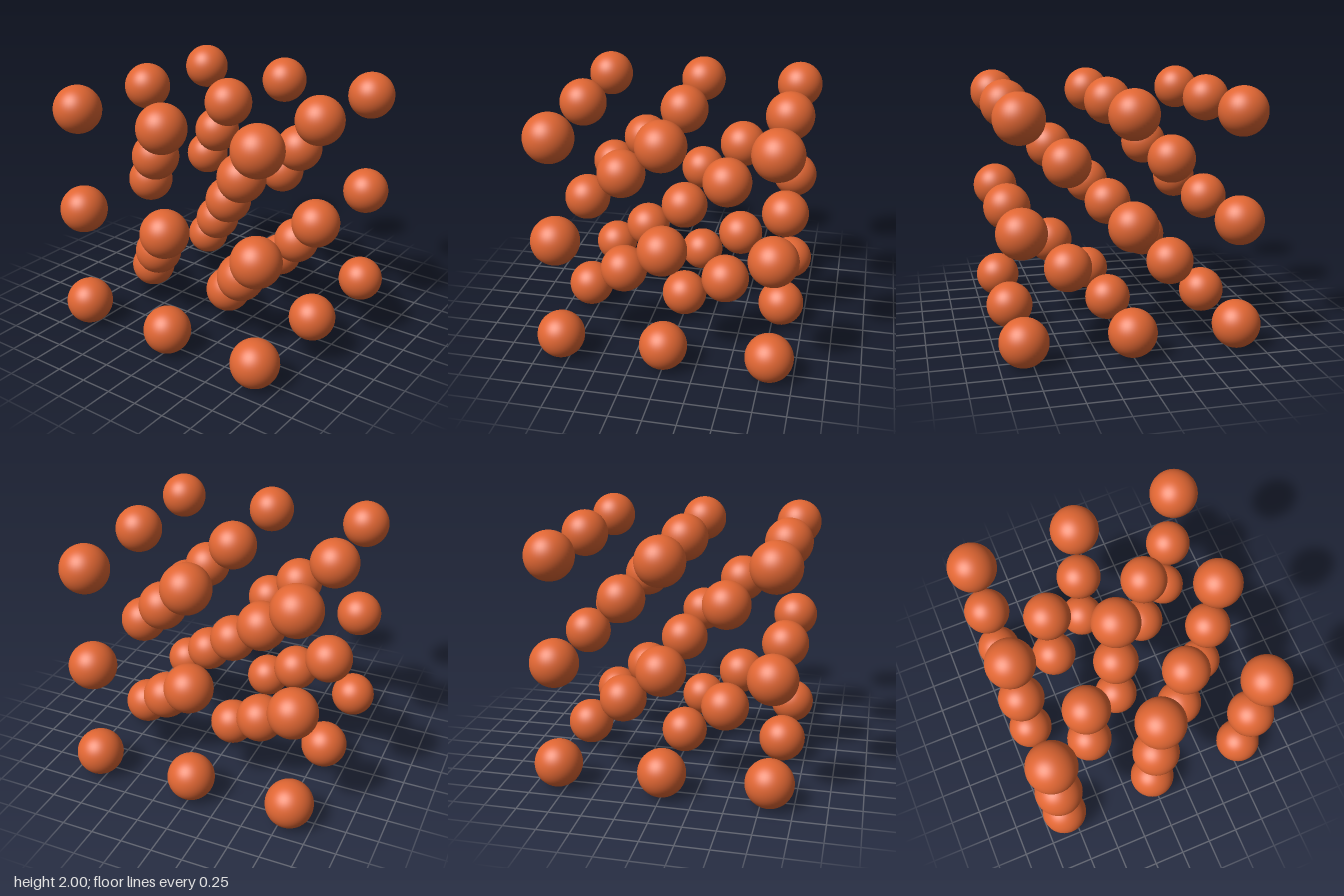
import * as THREE from 'three';

const RADIUS = 0.185;
const SPACING = 0.815; // distance between neighbouring corner atoms

export function createModel() {
  const model = new THREE.Group();
  model.name = 'crystalLattice';
  const material = new THREE.MeshStandardMaterial({ color: 0xe06633 });
  const sphere = new THREE.SphereGeometry(RADIUS, 48, 32);

  // Cubic grid of spheres along the given steps, centred at height 1
  function addGrid(name, steps) {
    const group = new THREE.Group();
    group.name = name + 's';
    for (const x of steps) for (const y of steps) for (const z of steps) {
      const atom = new THREE.Mesh(sphere, material);
      atom.name = name;
      atom.position.set(x * SPACING, 1 + y * SPACING, z * SPACING);
      group.add(atom);
    }
    model.add(group);
  }

  addGrid('cornerAtom', [-1, 0, 1]);  // corners of the eight cells
  addGrid('centreAtom', [-0.5, 0.5]); // one in the middle of each cell
  return model;
}
